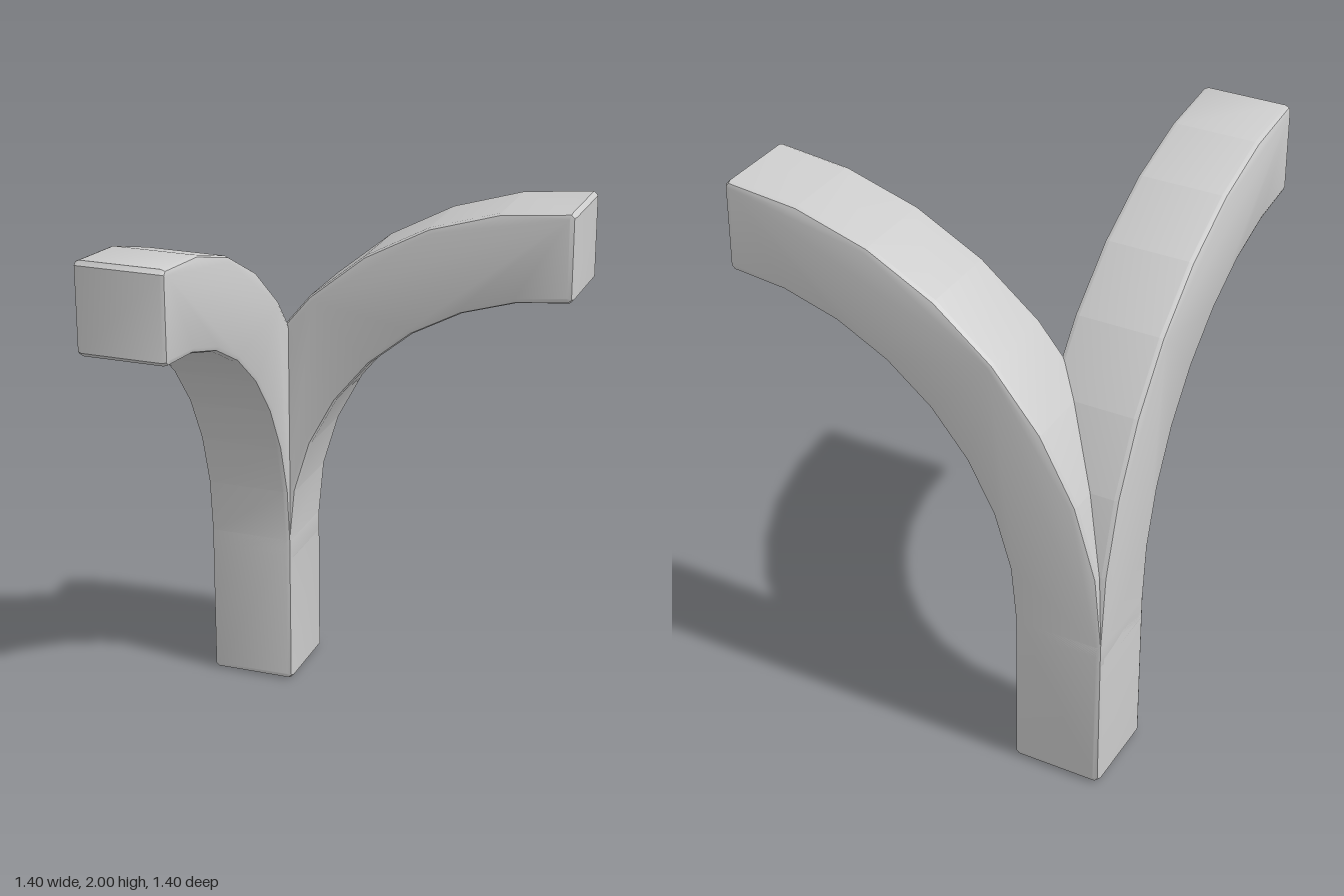
import * as THREE from 'three';
import { toCreasedNormals } from 'three/addons/utils/BufferGeometryUtils.js';

const OUT = 0.7;      // outer reach of the post and arm tips
const WIDTH = 0.33;   // beam width
const BEND_Y = 0.6;   // height where the post starts to curve
const R_OUT = 1.4, R_IN = 1.07;
const BEVEL = 0.02, STEPS = 8;

// Side profile of a post that bends a quarter turn into a horizontal arm
function armProfile(bottom) {
  const c = 0.015; // small chamfer on the end corners
  const pts = [
    [-OUT + WIDTH - c, bottom], [-OUT + c, bottom], [-OUT, bottom + c],
  ];
  for (let i = 0; i <= STEPS; i++) {
    const a = (i / STEPS) * Math.PI / 2;
    pts.push([OUT - R_OUT * Math.cos(a) - (i === STEPS ? c : 0), BEND_Y + R_OUT * Math.sin(a)]);
  }
  pts.push([OUT, BEND_Y + R_OUT - c], [OUT, BEND_Y + R_IN + c]);
  for (let i = STEPS; i >= 0; i--) {
    const a = (i / STEPS) * Math.PI / 2;
    pts.push([OUT - R_IN * Math.cos(a) - (i === STEPS ? c : 0), BEND_Y + R_IN * Math.sin(a)]);
  }
  pts.push([-OUT + WIDTH, bottom + c]);
  return new THREE.Shape(pts.map(([x, y]) => new THREE.Vector2(x, y)));
}

// Bevelled beam, its near side starting at the given z
function beam(bottom, z) {
  const geo = new THREE.ExtrudeGeometry(armProfile(bottom), {
    depth: WIDTH - 2 * BEVEL, steps: 1,
    bevelEnabled: true, bevelThickness: BEVEL, bevelSize: BEVEL,
    bevelOffset: -BEVEL, bevelSegments: 2,
  });
  geo.translate(0, 0, z + BEVEL);
  return geo;
}

export function createModel() {
  const group = new THREE.Group();
  group.name = 'forkedBeam';
  const material = new THREE.MeshStandardMaterial({ color: 0xcccccc });
  const add = (name, geo) => {
    const mesh = new THREE.Mesh(toCreasedNormals(geo, 0.42), material);
    mesh.name = name;
    group.add(mesh);
  };

  // Post with the arm that curves sideways
  add('postWithSideArm', beam(0, -OUT));

  // Arm that curves forward, growing out of the same post
  add('frontArm', beam(BEND_Y - 0.1, OUT - WIDTH).rotateY(-Math.PI / 2));

  return group;
}
